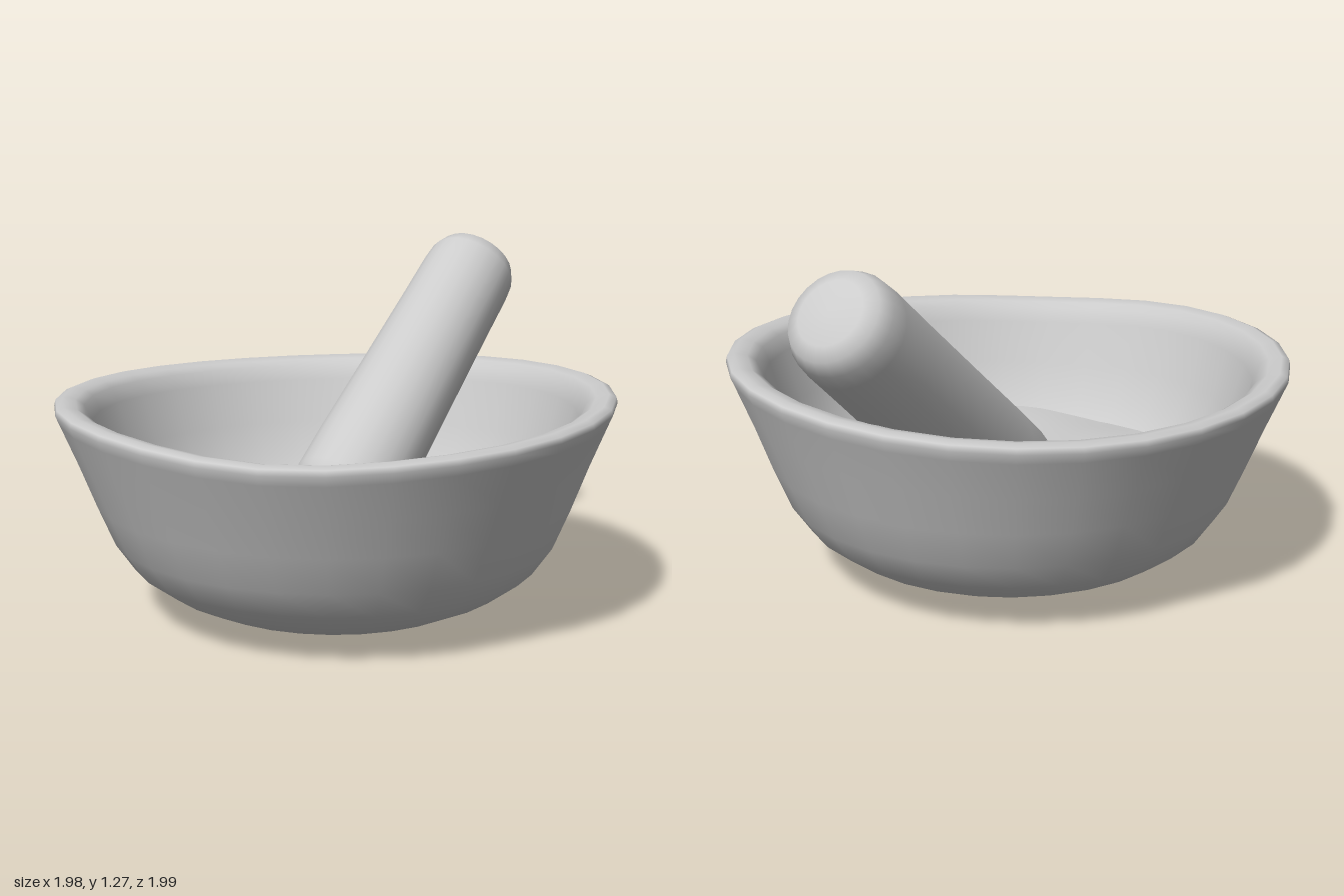
import * as THREE from 'three';
import { mergeVertices } from 'three/addons/utils/BufferGeometryUtils.js';

const material = new THREE.MeshStandardMaterial({ color: 0xcccccc });
const points = (list) => list.map(([r, y]) => new THREE.Vector2(r, y));

// Smooth lathe whose vertices are shifted in height by a rule
function turned(name, profile, segments, rise = () => 0) {
  let geo = new THREE.LatheGeometry(points(profile), segments);
  geo.deleteAttribute('uv');
  geo.deleteAttribute('normal');
  geo = mergeVertices(geo, 1e-4);
  const p = geo.attributes.position;
  for (let i = 0; i < p.count; i++) {
    p.setY(i, p.getY(i) + rise(p.getX(i), p.getY(i), p.getZ(i)));
  }
  geo.computeVertexNormals();
  const mesh = new THREE.Mesh(geo, material);
  mesh.name = name;
  return mesh;
}

// Uneven hand-made rim: high on the left, with a dip at the front right
function rimRise(x, y, z) {
  const a = Math.atan2(z, x);
  const dip = Math.exp(-((a - 1.98) ** 2) / 0.18);
  const wave = 0.018 * Math.cos(2 * a) + 0.012 * Math.cos(a) - 0.02 * dip;
  return wave * THREE.MathUtils.smoothstep(y, 0.3, 0.75);
}

// Gently lumpy ground powder
function powderRise(x, y, z) {
  return 0.022 * Math.sin(4.2 * x + 1) * Math.cos(3.7 * z - 0.5)
    + 0.014 * Math.sin(7.5 * x - 5 * z) + 0.01 * Math.cos(9 * z + 4 * x);
}

export function createModel() {
  const group = new THREE.Group();

  // Bowl: outside wall, rounded lip, then inside wall
  group.add(turned('bowl', [
    [0, 0], [0.2, 0.003], [0.35, 0.012], [0.5, 0.045], [0.62, 0.1], [0.73, 0.18],
    [0.8, 0.28], [0.86, 0.42], [0.92, 0.57], [0.98, 0.71], [0.995, 0.745],
    [0.99, 0.765], [0.965, 0.775], [0.92, 0.765], [0.89, 0.745], [0.865, 0.69],
    [0.81, 0.52], [0.75, 0.39], [0.68, 0.29], [0.55, 0.19], [0.3, 0.12], [0, 0.1],
  ], 30, rimRise));

  // Powder lying in the bowl, its edge tucked into the wall
  const rings = [];
  for (let i = 12; i >= 0; i--) rings.push([0.77 * i / 12, 0.325]);
  group.add(turned('powder', rings, 40, powderRise));

  // Pestle: tapered rod with rounded ends, leaning on the rim
  const foot = new THREE.Vector3(0, 0.296, -0.085);
  const head = new THREE.Vector3(0.735, 1.165, -0.815);
  const axis = head.clone().sub(foot);
  const L = axis.length();
  const pestle = turned('pestle', [
    [0, -0.01], [0.1, 0], [0.155, 0.015], [0.19, 0.05], [0.205, 0.12], [0.204, 0.3],
    [0.196, L * 0.45], [0.187, L * 0.75], [0.184, L - 0.14], [0.178, L - 0.07],
    [0.155, L - 0.02], [0.11, L], [0, L + 0.012],
  ], 24);
  pestle.position.copy(foot);
  pestle.quaternion.setFromUnitVectors(new THREE.Vector3(0, 1, 0), axis.normalize());
  group.add(pestle);

  return group;
}
